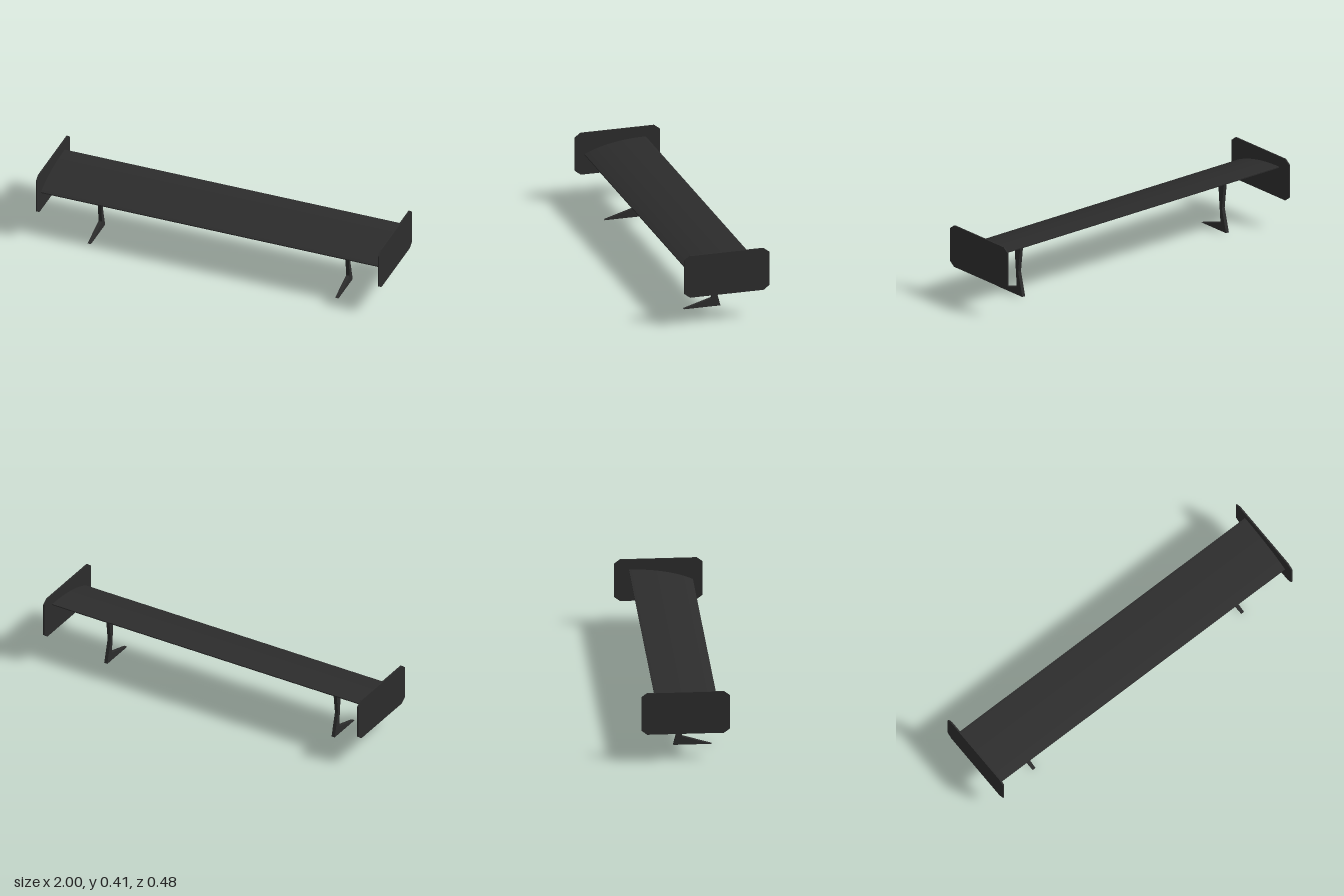
import * as THREE from 'three';

// Extrudes a side profile of [z, y] points along x, centred on x = 0
function sideExtrude(shape, width) {
  const geo = new THREE.ExtrudeGeometry(shape, { depth: width, bevelEnabled: false, curveSegments: 24 });
  geo.translate(0, 0, -width / 2);
  geo.rotateY(-Math.PI / 2);
  return geo;
}

const polygon = (points) => new THREE.Shape(points.map(([z, y]) => new THREE.Vector2(z, y)));

export function createModel() {
  const group = new THREE.Group();
  const black = new THREE.MeshStandardMaterial({ color: 0x2c2c2c });
  black.name = 'satinBlack';

  function add(name, geometry, x = 0) {
    const mesh = new THREE.Mesh(geometry, black);
    mesh.name = name;
    mesh.position.x = x;
    group.add(mesh);
  }

  // Wing blade: low front edge, arched top rising to the rear, flatter underside
  const blade = new THREE.Shape();
  blade.moveTo(0.187, 0.279);
  blade.lineTo(0.187, 0.285);
  blade.bezierCurveTo(0.09, 0.331, -0.04, 0.35, -0.16, 0.349);
  blade.lineTo(-0.16, 0.343);
  blade.bezierCurveTo(-0.04, 0.334, 0.08, 0.311, 0.187, 0.279);
  add('wingBlade', sideExtrude(blade, 1.984));

  // End plates with clipped corners
  const plate = polygon([
    [-0.24, 0.192], [-0.208, 0.168], [0.208, 0.168], [0.24, 0.192],
    [0.24, 0.384], [0.208, 0.408], [-0.208, 0.408], [-0.24, 0.384],
  ]);

  // Support legs: long pointed foot, narrow waist, flared top under the blade
  const leg = polygon([
    [0.16, 0], [0.002, 0.047], [0, 0.052], [0.01, 0.17], [0.021, 0.312],
    [-0.034, 0.32], [-0.012, 0.135], [-0.047, 0],
  ]);

  for (const [side, s] of [['left', 1], ['right', -1]]) {
    add(side + 'EndPlate', sideExtrude(plate, 0.008), s * 0.996);
    add(side + 'Leg', sideExtrude(leg, 0.02), s * 0.721);
  }
  return group;
}
